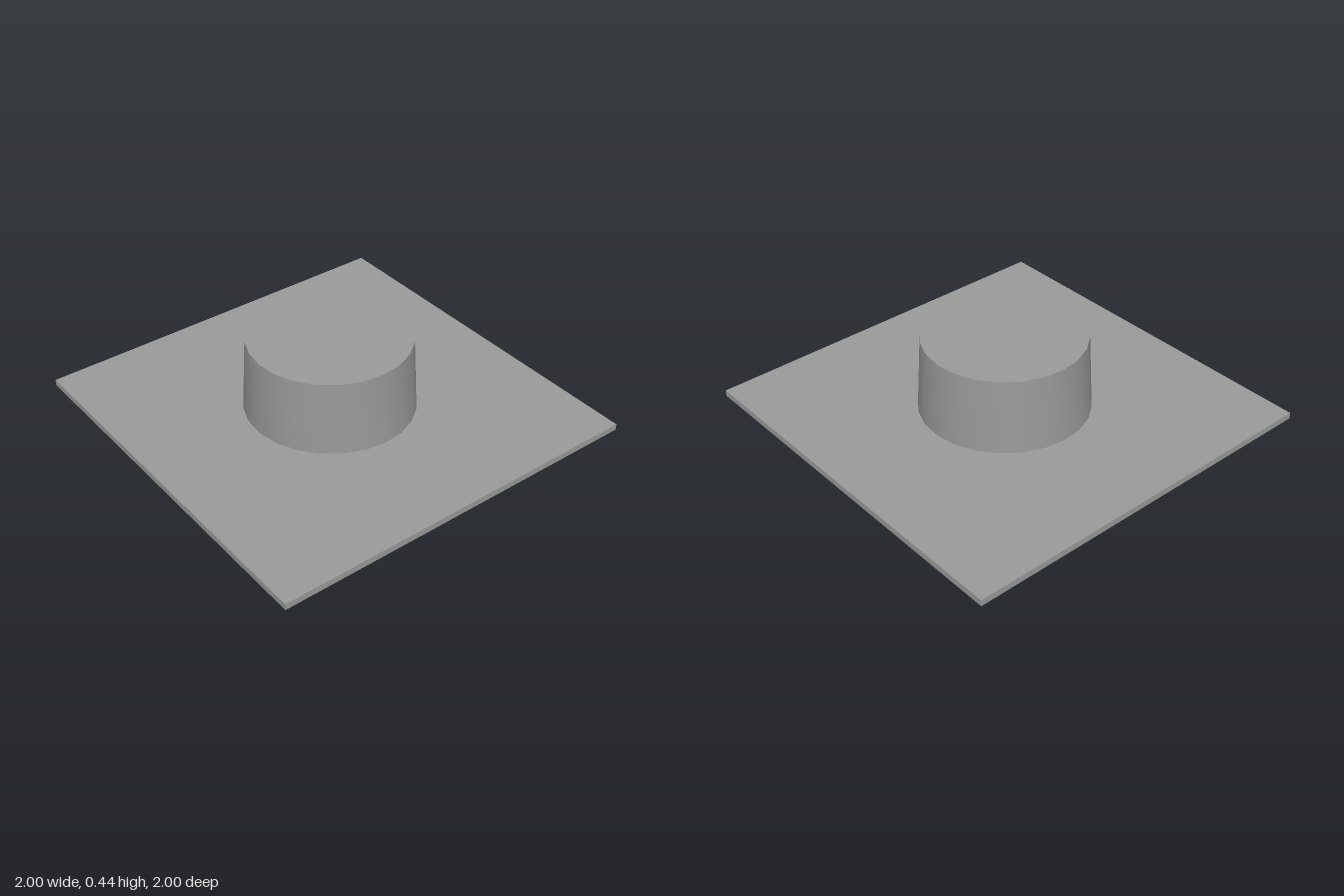
import * as THREE from 'three';
import { toCreasedNormals } from 'three/addons/utils/BufferGeometryUtils.js';

const SIDES = 24;
const HOLE = 0.412;

export function createModel() {
  const model = new THREE.Group();
  const grey = new THREE.MeshStandardMaterial({ color: 0x9a9a9a });

  const add = (name, geometry, parent = model) => {
    const mesh = new THREE.Mesh(geometry, grey);
    mesh.name = name;
    parent.add(mesh);
    return mesh;
  };
  // Group turned about the y axis, for parts set in a circle
  const arm = (angle) => {
    const group = new THREE.Group();
    group.rotation.y = angle;
    model.add(group);
    return group;
  };
  // Profile of [radius, height] pairs turned about the y axis
  const lathe = (profile) =>
    new THREE.LatheGeometry(profile.map(([r, y]) => new THREE.Vector2(r, y)), SIDES);
  const turned = (profile) => toCreasedNormals(lathe(profile), 0.45);

  // Thin square ceiling plate with a round opening
  const square = new THREE.Shape([
    new THREE.Vector2(-1, -1), new THREE.Vector2(1, -1),
    new THREE.Vector2(1, 1), new THREE.Vector2(-1, 1),
  ]);
  const opening = [];
  for (let i = 0; i < SIDES; i++) {
    const a = -i / SIDES * Math.PI * 2;
    opening.push(new THREE.Vector2(Math.cos(a) * HOLE, Math.sin(a) * HOLE));
  }
  square.holes.push(new THREE.Path(opening));
  const plate = new THREE.ExtrudeGeometry(square, { depth: 0.033, bevelEnabled: false });
  plate.rotateX(-Math.PI / 2);
  add('ceilingPlate', plate);

  // Tapered can, closed on top; its foot is slightly oval along one diagonal
  const can = lathe([[1, 0.03], [0.413, 0.435], [0, 0.435]]);
  const points = can.attributes.position;
  for (let i = 0; i < points.count; i++) {
    if (points.getY(i) > 0.1) continue;
    const x = points.getX(i), z = points.getZ(i);
    const along = (x - z) / 2 * 0.435, across = (x + z) / 2 * 0.418 - 0.003;
    points.setX(i, across + along);
    points.setZ(i, across - along);
  }
  add('outerCan', toCreasedNormals(can, 0.45));

  // Inside of the can: roof, recess, stepped flange, wall and bottom lip
  add('innerCan', turned([
    [0, 0.37], [0.29, 0.36], [0.345, 0.32], [0.35, 0.24],
    [0.39, 0.235], [0.39, 0.02], [HOLE, 0],
  ]));

  // Lamp: raised outer rim, hollow reflector and small central dome
  add('lampDish', turned([
    [0, 0.29], [0.05, 0.295], [0.08, 0.32], [0.15, 0.32],
    [0.225, 0.28], [0.235, 0.265], [0.25, 0.265], [0.26, 0.36],
  ]));

  // Radial fins dividing the reflector
  for (let i = 0; i < 8; i++) {
    const fin = add('reflectorFin', new THREE.BoxGeometry(0.16, 0.05, 0.015), arm(i * Math.PI / 4));
    fin.position.set(0.15, 0.305, 0);
  }

  // Four spokes on the axes and four sloped clips between them
  for (let i = 0; i < 4; i++) {
    const bar = add('spoke', new THREE.BoxGeometry(0.11, 0.07, 0.04), arm(i * Math.PI / 2));
    bar.position.set(0.3, 0.315, 0);

    const clip = add('clip', new THREE.BoxGeometry(0.03, 0.07, 0.19), arm((i + 0.5) * Math.PI / 2));
    clip.position.set(0.315, 0.29, 0);
    clip.rotation.z = 0.3;
  }
  return model;
}
